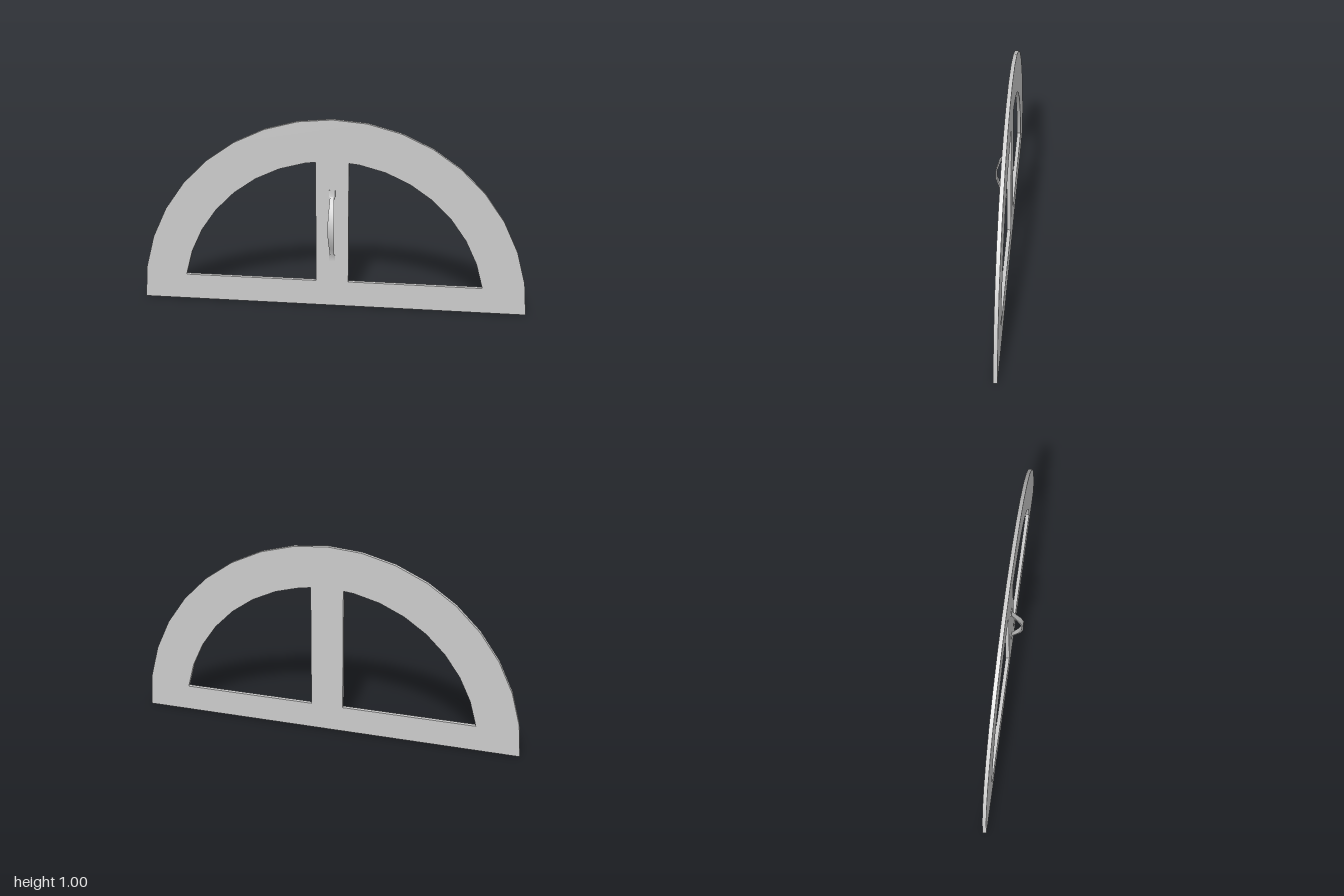
import * as THREE from 'three';
import { toCreasedNormals } from 'three/addons/utils/BufferGeometryUtils.js';

const material = new THREE.MeshStandardMaterial({ color: 0xcccccc });
const polar = (r, deg) => new THREE.Vector2(
  r * Math.cos(THREE.MathUtils.degToRad(deg)), r * Math.sin(THREE.MathUtils.degToRad(deg)));

function addMesh(group, name, geometry, crease) {
  const mesh = new THREE.Mesh(toCreasedNormals(geometry, crease), material);
  mesh.name = name;
  group.add(mesh);
}

// Half-round plate with two quarter-round openings and a bar between them
function plateGeometry() {
  const outline = [];
  for (let a = 0; a <= 180; a += 10) outline.push(polar(1, a));
  const shape = new THREE.Shape(outline);

  const inner = 0.785, bar = 0.084;
  const sill = polar(inner, 10).y;
  const opening = [new THREE.Vector2(bar, sill)];
  for (let a = 10; a <= 80; a += 10) opening.push(polar(inner, a));
  opening.push(new THREE.Vector2(bar, 0.779));
  for (const side of [1, -1]) {
    shape.holes.push(new THREE.Path(opening.map(p => new THREE.Vector2(side * p.x, p.y))));
  }
  return new THREE.ExtrudeGeometry(shape, { depth: 0.02, bevelEnabled: false }).translate(0, 0, -0.04);
}

// Bowed strap: rectangular cross-sections from the top tab down to the bottom tab
function handleGeometry() {
  const middle = 0.442;
  // offset from middle, back z, front z, half width
  const half = [
    [0.193, -0.02, -0.016, 0.016],
    [0.160, -0.02, -0.016, 0.016],
    [0.156, -0.02, -0.0145, 0.011],
    [0.118, -0.001, 0.006, 0.012],
    [0.078, 0.02, 0.027, 0.0145],
    [0.026, 0.036, 0.043, 0.016],
  ];
  const stations = [...half, ...half.map(([d, ...rest]) => [-d, ...rest]).reverse()];
  const positions = [], index = [];
  stations.forEach(([d, back, front, w], i) => {
    const y = middle + d;
    positions.push(-w, y, front, w, y, front, w, y, back, -w, y, back);
    if (i === 0) return;
    const a = (i - 1) * 4, b = i * 4;
    for (let k = 0; k < 4; k++) {
      const n = (k + 1) % 4;
      index.push(a + k, b + k, b + n, a + k, b + n, a + n);
    }
  });
  const e = (stations.length - 1) * 4;
  index.push(0, 1, 2, 0, 2, 3, e, e + 2, e + 1, e, e + 3, e + 2);
  const geometry = new THREE.BufferGeometry();
  geometry.setAttribute('position', new THREE.Float32BufferAttribute(positions, 3));
  geometry.setIndex(index);
  return geometry;
}

export function createModel() {
  const group = new THREE.Group();
  group.name = 'protractor';
  addMesh(group, 'plate', plateGeometry(), Math.PI / 6);
  addMesh(group, 'handle', handleGeometry(), Math.PI / 6);
  return group;
}
